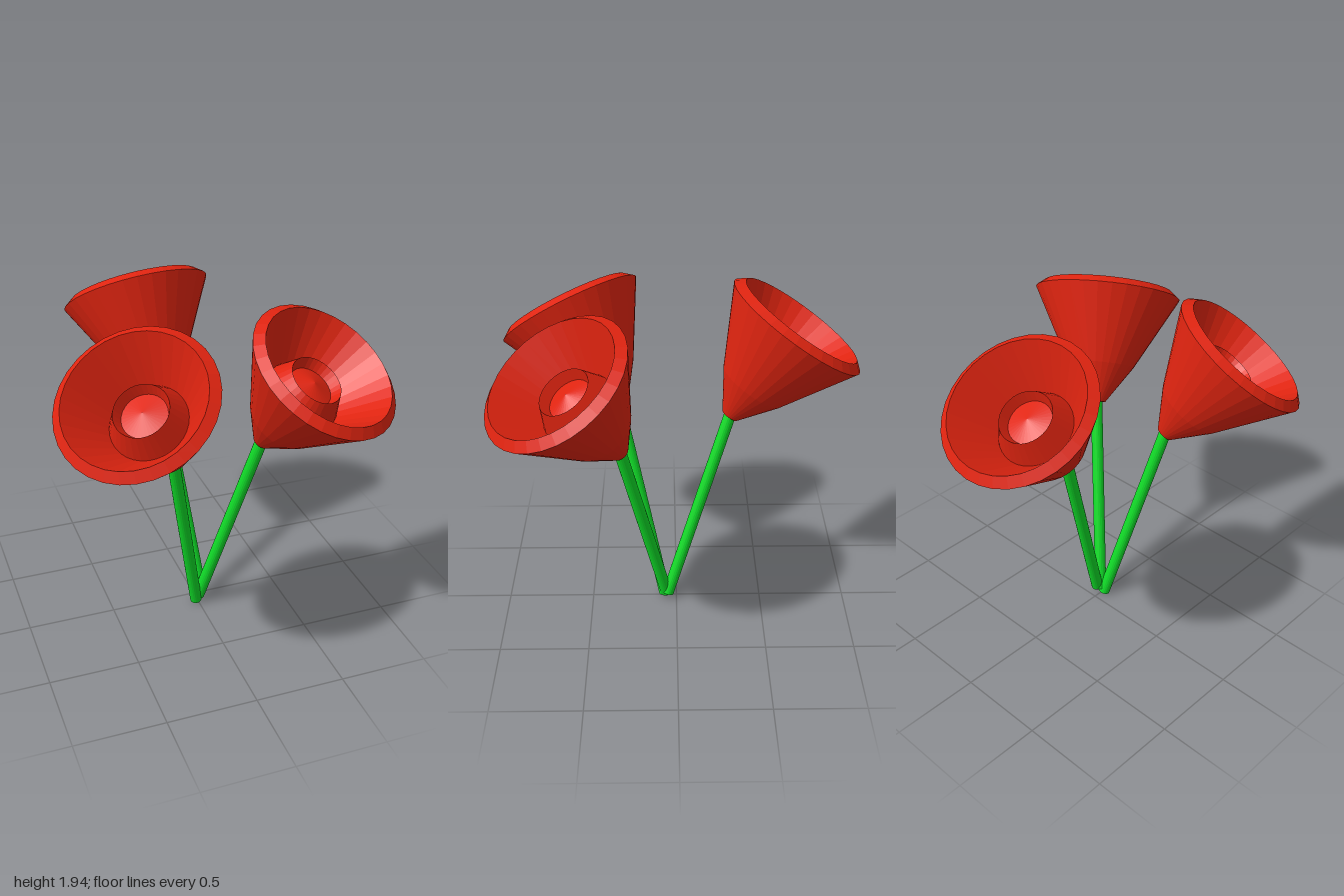
import * as THREE from 'three';

const UP = new THREE.Vector3(0, 1, 0);
const red = new THREE.MeshStandardMaterial({ color: 0xe02410, flatShading: true });
const green = new THREE.MeshStandardMaterial({ color: 0x10dd28, flatShading: true });

// Bell outline: outer cup, bevelled lip, inner wall, raised centre ring, low cone
const bellProfile = [
  [0, 0], [0.05, 0], [0.195, 0.215], [0.42, 0.63], [0.37, 0.67],
  [0.205, 0.42], [0.145, 0.55], [0.12, 0.49], [0, 0.53],
].map(([r, h]) => new THREE.Vector2(r, h));

// Stem foot, stem top (bell base) and centre of the bell's rim
const flowers = [
  { name: 'leftFlower', foot: [0.01, 0.03, 0.06], top: [0.28, 1.15, 0.3], rim: [0.48, 1.66, 0.6] },
  { name: 'rightFlower', foot: [-0.01, 0.01, 0.07], top: [-0.23, 1.15, 0.32], rim: [-0.51, 1.66, 0.605] },
  { name: 'backFlower', foot: [0.03, 0.04, 0.05], top: [-0.08, 1.18, -0.3], rim: [-0.12, 1.69, -0.65] },
];

function createFlower({ name, foot, top, rim }) {
  const flower = new THREE.Group();
  flower.name = name;
  const a = new THREE.Vector3(...foot);
  const b = new THREE.Vector3(...top);
  const c = new THREE.Vector3(...rim);

  // Straight stem, running slightly into the bell
  const along = b.clone().sub(a);
  const length = along.length() + 0.03;
  const stemGeometry = new THREE.CylinderGeometry(0.034, 0.034, length, 20);
  stemGeometry.translate(0, length / 2, 0);
  const stem = new THREE.Mesh(stemGeometry, green);
  stem.name = 'stem';
  stem.position.copy(a);
  stem.quaternion.setFromUnitVectors(UP, along.normalize());

  // Bell tilted outwards further than the stem
  const bell = new THREE.Mesh(new THREE.LatheGeometry(bellProfile, 32), red);
  bell.name = 'bell';
  bell.position.copy(b);
  bell.quaternion.setFromUnitVectors(UP, c.sub(b).normalize());

  flower.add(stem, bell);
  return flower;
}

export function createModel() {
  const model = new THREE.Group();
  model.name = 'flowers';
  for (const f of flowers) model.add(createFlower(f));
  return model;
}
